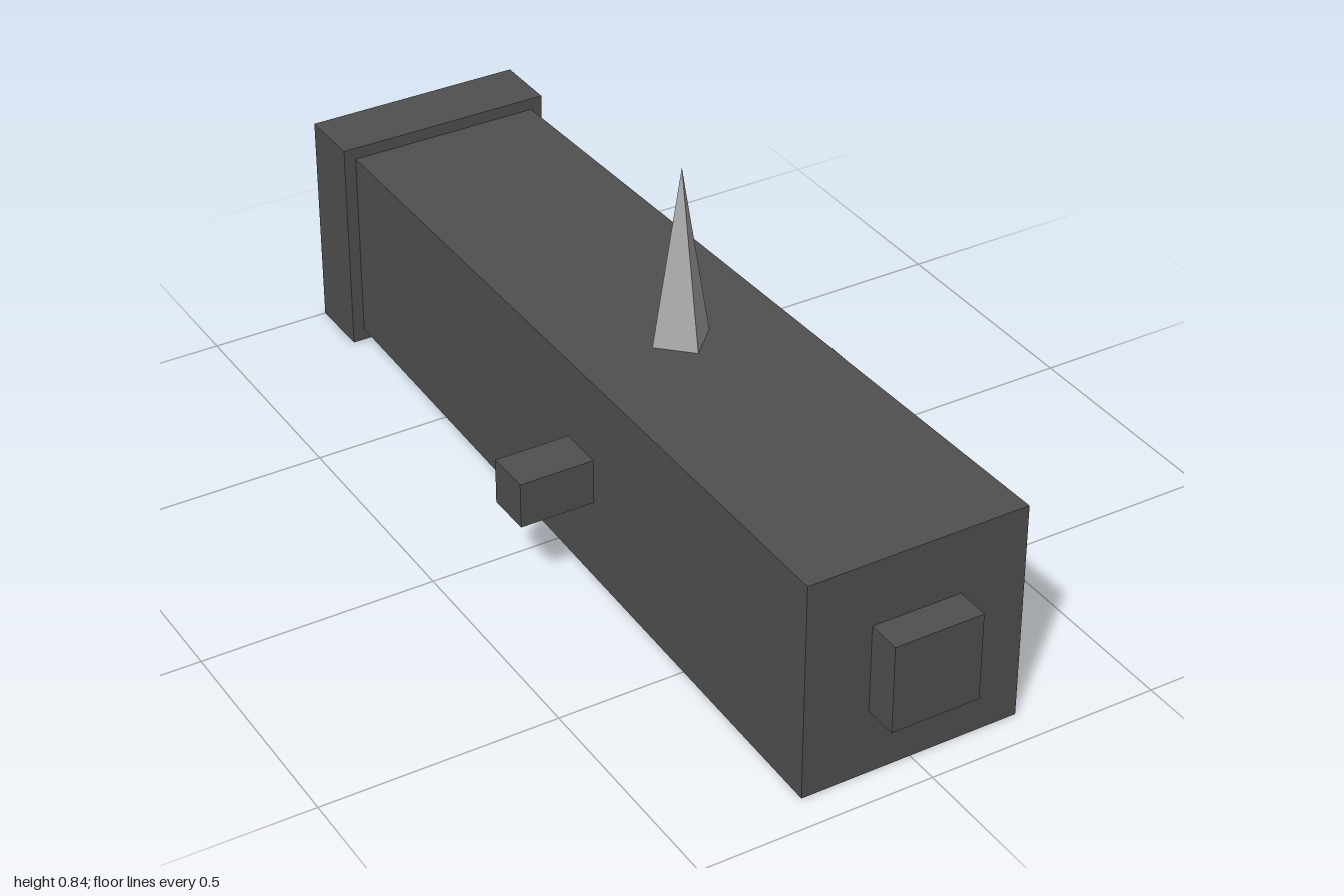
import * as THREE from 'three';

const AXIS_Y = 0.238;

// Square-section solid swept along z from [half width, z] points, running from front to back.
function squareProfile(points) {
  const profile = points.map(([half, z]) => new THREE.Vector2(half * Math.SQRT2, -z));
  const geometry = new THREE.LatheGeometry(profile, 4, Math.PI / 4).toNonIndexed();
  geometry.computeVertexNormals();
  return geometry.rotateX(-Math.PI / 2).translate(0, AXIS_Y, 0);
}

export function createModel() {
  const model = new THREE.Group();
  model.name = 'cannon';

  const iron = new THREE.MeshStandardMaterial({ color: 0x505050 });
  iron.name = 'darkIron';
  const steel = new THREE.MeshStandardMaterial({ color: 0xacacac });
  steel.name = 'paleSteel';

  const add = (name, geometry, material = iron) => {
    const mesh = new THREE.Mesh(geometry, material);
    mesh.name = name;
    model.add(mesh);
    return mesh;
  };

  // Tapered barrel with a closed breech
  add('barrel', squareProfile([[0, 0.927], [0.238, 0.927], [0.212, -0.86]]));

  // Raised band around the open muzzle
  add('muzzleBand', squareProfile([[0.212, -0.86], [0.238, -0.86], [0.238, -1], [0.119, -1]]));

  // Hollow bore, facing inward
  add('bore', squareProfile([[0.119, -1], [0.119, 0.7], [0, 0.7]]));

  // Knob at the breech
  add('breechKnob', new THREE.BoxGeometry(0.192, 0.192, 0.08)).position.set(0, AXIS_Y + 0.001, 0.96);

  // Side pivots
  for (const side of [1, -1]) {
    const trunnion = add(side > 0 ? 'leftTrunnion' : 'rightTrunnion', new THREE.BoxGeometry(0.18, 0.099, 0.099));
    trunnion.position.set(side * 0.298, AXIS_Y, 0.113);
  }

  // Four-sided spike on top
  const height = 0.39;
  const cone = new THREE.ConeGeometry(0.066, height, 4).toNonIndexed();
  cone.computeVertexNormals();
  add('spike', cone, steel).position.set(0, 0.845 - height / 2, 0.112);

  return model;
}
